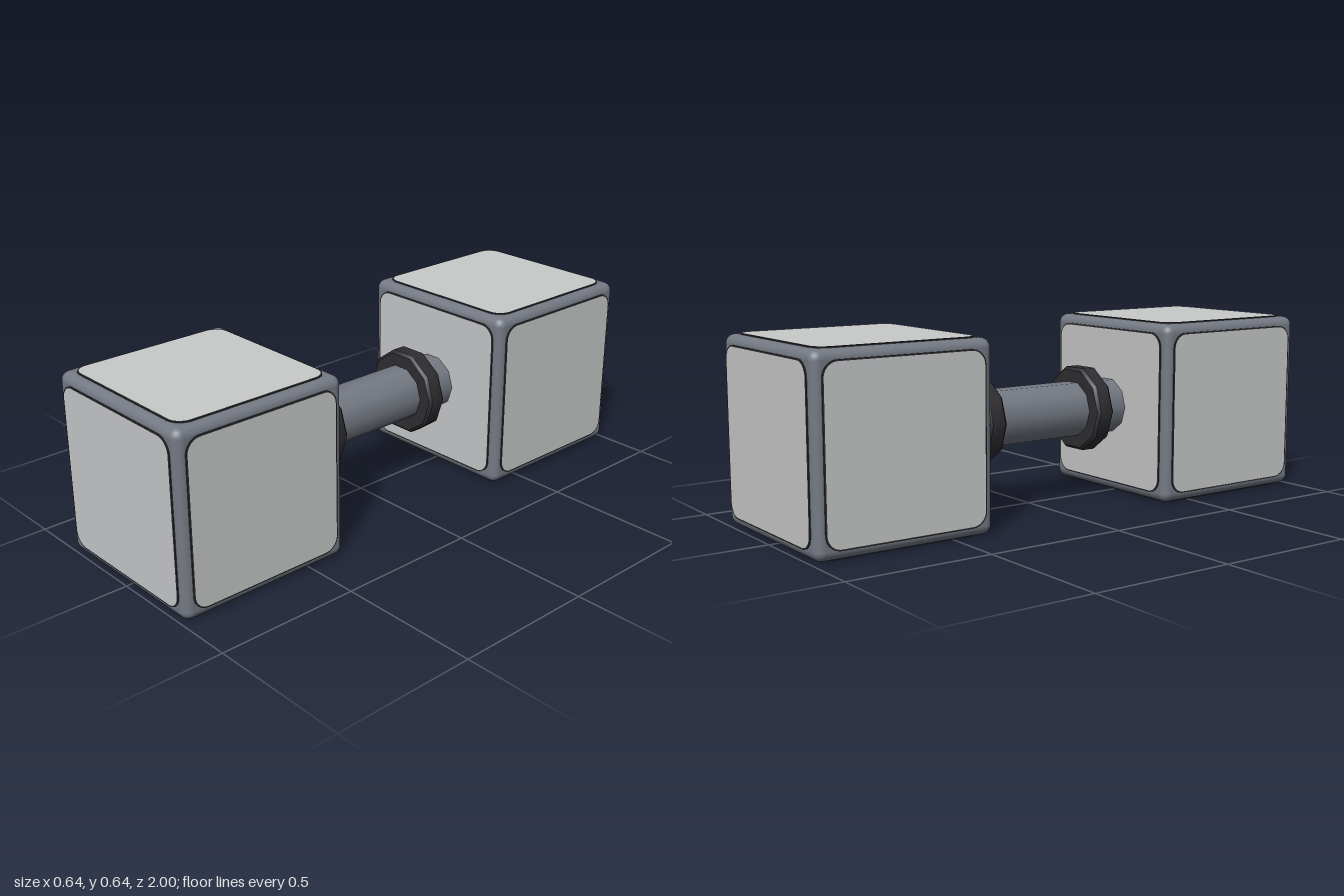
import * as THREE from 'three';
import { toCreasedNormals } from 'three/addons/utils/BufferGeometryUtils.js';
import { RoundedBoxGeometry } from 'three/addons/geometries/RoundedBoxGeometry.js';

const material = (name, color) => {
  const m = new THREE.MeshStandardMaterial({ color });
  m.name = name;
  return m;
};

// Square outline with rounded corners, centred on the origin
function roundedSquare(half, r) {
  const s = new THREE.Shape();
  const c = half - r;
  s.absarc(c, c, r, 0, Math.PI / 2);
  s.absarc(-c, c, r, Math.PI / 2, Math.PI);
  s.absarc(-c, -c, r, Math.PI, Math.PI * 1.5);
  s.absarc(c, -c, r, Math.PI * 1.5, Math.PI * 2);
  s.closePath();
  return s;
}

export function createModel() {
  const frameGrey = material('frame grey', 0x747983);
  const panelGrey = material('panel light grey', 0xc8c9ca);
  const black = material('rubber black', 0x2e2e32);

  const model = new THREE.Group();
  model.name = 'cubeDumbbell';
  const add = (parent, name, geometry, mat) => {
    const mesh = new THREE.Mesh(geometry, mat);
    mesh.name = name;
    parent.add(mesh);
    return mesh;
  };
  const centreY = 0.321;

  // Shared geometries
  const cubeGeo = new RoundedBoxGeometry(0.632, 0.632, 0.632, 4, 0.032);
  const rimGeo = new THREE.ExtrudeGeometry(roundedSquare(0.285, 0.052), {
    depth: 0.01, bevelEnabled: false, curveSegments: 6,
  });
  rimGeo.translate(0, 0, 0.3095);
  const panelGeo = new THREE.ShapeGeometry(roundedSquare(0.28, 0.047), 6);
  panelGeo.translate(0, 0, 0.3205);

  // Face directions as rotations about x and y
  const q = Math.PI / 2;
  const faces = [[0, 0], [0, q], [0, 2 * q], [0, -q], [q, 0], [-q, 0]];

  // Collar profile with chamfered edges
  const collarProfile = [
    [0.085, -0.035], [0.145, -0.035], [0.155, -0.025],
    [0.155, 0.025], [0.145, 0.035], [0.085, 0.035],
  ].map(([r, h]) => new THREE.Vector2(r, h));
  const collarGeo = toCreasedNormals(new THREE.LatheGeometry(collarProfile, 10, q), 0.7);
  collarGeo.rotateX(q);

  for (const side of [1, -1]) {
    // Weight: rounded cube with a raised, dark-rimmed panel on each face
    const weight = new THREE.Group();
    weight.name = side > 0 ? 'frontWeight' : 'backWeight';
    weight.position.set(0, centreY, side * 0.679);
    model.add(weight);
    add(weight, 'weightFrame', cubeGeo, frameGrey);
    for (const [rx, ry] of faces) {
      add(weight, 'panelRim', rimGeo, black).rotation.set(rx, ry, 0);
      add(weight, 'facePanel', panelGeo, panelGrey).rotation.set(rx, ry, 0);
    }

    // Grip collar
    const collar = add(model, side > 0 ? 'frontCollar' : 'backCollar', collarGeo, black);
    collar.position.set(0, centreY + 0.002, side * 0.23);
  }

  // Handle bar
  const handleGeo = new THREE.CylinderGeometry(0.1, 0.1, 0.76, 10, 1, false, q);
  handleGeo.rotateX(q);
  add(model, 'handle', handleGeo, frameGrey).position.y = centreY + 0.002;

  return model;
}
